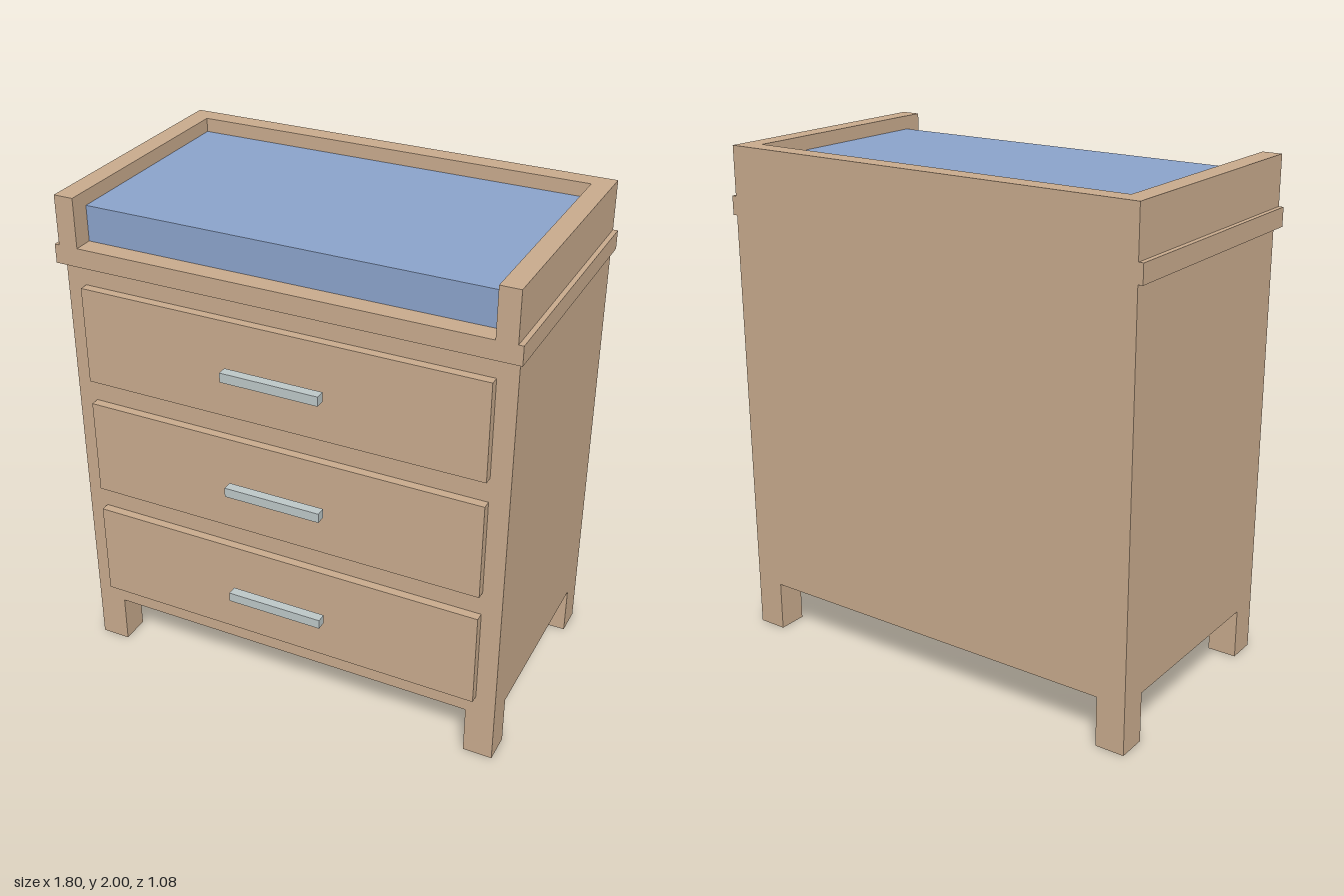
import * as THREE from 'three';

export function createModel() {
  const model = new THREE.Group();
  model.name = 'changingDresser';

  const material = (name, color) => {
    const m = new THREE.MeshStandardMaterial({ color });
    m.name = name;
    return m;
  };
  const wood = material('wood', 0xc9ab8d);
  const fabric = material('blueFabric', 0x8ba3cb);
  const metal = material('greyMetal', 0xbdc7c8);

  // Box given by its lower and upper limits on each axis
  const box = (name, mat, [x0, x1], [y0, y1], [z0, z1]) => {
    const mesh = new THREE.Mesh(new THREE.BoxGeometry(x1 - x0, y1 - y0, z1 - z0), mat);
    mesh.position.set((x0 + x1) / 2, (y0 + y1) / 2, (z0 + z1) / 2);
    mesh.name = name;
    model.add(mesh);
  };

  const back = -0.54, front = 0.445, lip = 0.48;

  // Carcass and overhanging top
  box('carcass', wood, [-0.883, 0.883], [0.2, 1.732], [back, front]);
  box('topSlab', wood, [-0.902, 0.902], [1.732, 1.806], [back, lip]);

  // Legs and side rails, mirrored
  for (const [side, s] of [['left', 1], ['right', -1]]) {
    const span = (a, b) => (s > 0 ? [a, b] : [-b, -a]);
    box(side + 'FrontLeg', wood, span(0.766, 0.883), [0, 0.2], [front - 0.117, front]);
    box(side + 'BackLeg', wood, span(0.766, 0.883), [0, 0.2], [back, back + 0.117]);
    box(side + 'Rail', wood, span(0.805, 0.883), [1.806, 2], [back, lip]);
  }
  box('backRail', wood, [-0.805, 0.805], [1.806, 2], [back, -0.463]);

  // Changing pad
  box('pad', fabric, [-0.805, 0.805], [1.806, 1.945], [-0.463, 0.402]);

  // Drawers with bar handles
  for (let i = 0; i < 3; i++) {
    const y = 0.281 + i * 0.4885;
    box('drawerFront' + (i + 1), wood, [-0.805, 0.805], [y, y + 0.39], [front, lip]);
    box('handle' + (i + 1), metal, [-0.195, 0.195], [y + 0.176, y + 0.214], [0.502, 0.54]);
  }

  return model;
}
